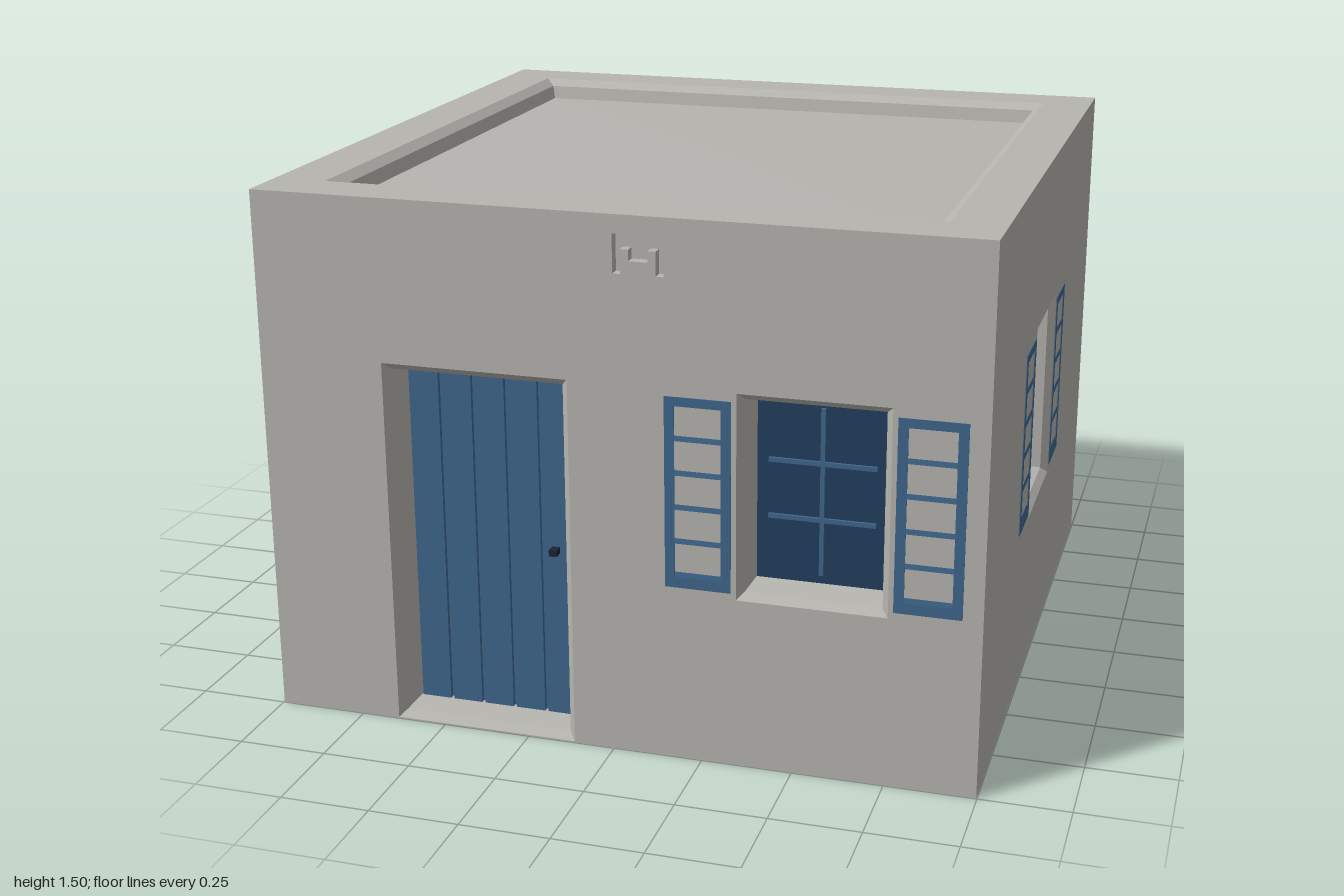
import * as THREE from 'three';

const paint = (name, color) => Object.assign(new THREE.MeshStandardMaterial({ color }), { name });
const wall = paint('greyPlaster', 0xb6b4af);
const blue = paint('shutterBlue', 0x3f668d);
const glass = paint('darkGlass', 0x233e5f);
const iron = paint('darkIron', 0x1b2433);

const HALF = 0.998, HEIGHT = 1.5, REVEAL = 0.115;

function add(parent, name, geometry, material, x = 0, y = 0, z = 0) {
  const mesh = new THREE.Mesh(geometry, material);
  mesh.name = name;
  mesh.position.set(x, y, z);
  parent.add(mesh);
  return mesh;
}

function box(parent, name, material, w, h, d, x, y, z) {
  return add(parent, name, new THREE.BoxGeometry(w, h, d), material, x, y, z);
}

// Counter-clockwise rectangle, grown outwards by g
const rect = (x0, y0, x1, y1, g = 0) => [
  [x0 - g, y0 - g], [x1 + g, y0 - g], [x1 + g, y1 + g], [x0 - g, y1 + g],
];
const toShape = (pts) => new THREE.Shape(pts.map(([x, y]) => new THREE.Vector2(x, y)));

// Flat faces lining an opening, from a stack of outlines going inwards
function lining(loops) {
  const v = [];
  for (let k = 0; k + 1 < loops.length; k++) {
    const [a, b] = [loops[k], loops[k + 1]];
    const n = a.pts.length;
    for (let i = 0; i < n; i++) {
      const j = (i + 1) % n;
      const p0 = [...a.pts[i], a.z], p1 = [...a.pts[j], a.z];
      const q0 = [...b.pts[i], b.z], q1 = [...b.pts[j], b.z];
      v.push(...p0, ...p1, ...q1, ...p0, ...q1, ...q0);
    }
  }
  const g = new THREE.BufferGeometry();
  g.setAttribute('position', new THREE.Float32BufferAttribute(v, 3));
  g.computeVertexNormals();
  return g;
}

// Chamfered, slightly tapered opening; returns the outline to cut from the wall
function opening(parent, name, r, chamfer, depth) {
  const outer = rect(...r, chamfer);
  add(parent, name, lining([
    { pts: outer, z: 0 },
    { pts: rect(...r), z: -0.02 },
    { pts: rect(...r, -0.008), z: -depth },
  ]), wall);
  return outer;
}

function cutPanel(parent, name, outline, holes) {
  const shape = toShape(outline);
  shape.holes = holes.map(toShape);
  add(parent, name, new THREE.ShapeGeometry(shape), wall);
}

// Louvred shutter: a frame with sloping slats
function shutter(parent, x, y) {
  const g = new THREE.Group();
  g.name = 'shutter';
  g.position.set(x, y, -0.018);
  const w = 0.18, h = 0.53, d = 0.02;
  const frame = toShape(rect(-w / 2, -h / 2, w / 2, h / 2));
  frame.holes = [toShape(rect(-0.063, -0.235, 0.063, 0.24))];
  add(g, 'shutterFrame', new THREE.ExtrudeGeometry(frame, { depth: d, bevelEnabled: false }), blue);
  for (let i = 0; i < 5; i++) {
    const slat = toShape([[0, 0], [-d, 0], [-0.007, 0.095]]);
    const geo = new THREE.ExtrudeGeometry(slat, { depth: 0.126, bevelEnabled: false });
    geo.rotateY(Math.PI / 2);
    add(g, 'shutterSlat', geo, blue, -0.063, -0.235 + i * 0.095, 0);
  }
  parent.add(g);
}

function windowUnit(parent, x) {
  const g = new THREE.Group();
  g.name = 'window';
  parent.add(g);
  const y = 0.765;
  const hole = opening(g, 'windowReveal', [x - 0.185, 0.5, x + 0.185, 1.035], 0.018, REVEAL);
  add(g, 'windowPane', new THREE.PlaneGeometry(0.37, 0.54), glass, x, 0.7675, -REVEAL + 0.001);
  // Glazing bars
  box(g, 'glazingBar', blue, 0.012, 0.465, 0.01, x, y, -REVEAL + 0.004);
  for (const by of [0.688, 0.845]) box(g, 'glazingBar', blue, 0.29, 0.012, 0.01, x, by, -REVEAL + 0.004);
  for (const s of [-1, 1]) shutter(g, x + s * 0.307, y);
  return hole;
}

function doorUnit(parent, x) {
  const g = new THREE.Group();
  g.name = 'door';
  parent.add(g);
  const hole = opening(g, 'doorReveal', [x - 0.244, 0.022, x + 0.244, 1.03], 0.019, REVEAL);
  add(g, 'doorBacking', new THREE.PlaneGeometry(0.49, 1.01), blue, x, 0.526, -REVEAL);
  // Five upright planks with narrow grooves
  for (let i = 0; i < 5; i++) {
    box(g, 'doorPlank', blue, 0.086, 1.0, 0.012, x + (i - 2) * 0.095, 0.526, -REVEAL + 0.006);
  }
  box(g, 'doorKnob', iron, 0.022, 0.018, 0.03, x + 0.183, 0.522, -REVEAL + 0.026);
  return hole;
}

// Small notched niche near the top of the front wall
function niche(parent) {
  const pts = [
    [0.015, 1.345], [0.036, 1.345], [0.036, 1.41], [0.058, 1.41], [0.058, 1.38], [0.11, 1.38],
    [0.11, 1.41], [0.131, 1.41], [0.131, 1.345], [0.152, 1.345], [0.152, 1.45], [0.015, 1.45],
  ];
  add(parent, 'nicheSides', lining([{ pts, z: 0 }, { pts, z: -0.03 }]), wall);
  add(parent, 'nicheBack', new THREE.ShapeGeometry(toShape(pts)), wall, 0, 0, -0.03);
  return pts;
}

function side(model, name, angle, build) {
  const g = new THREE.Group();
  g.name = name;
  g.rotation.y = angle;
  g.position.set(Math.sin(angle) * HALF, 0, Math.cos(angle) * HALF);
  cutPanel(g, name + 'Panel', rect(-HALF, 0, HALF, HEIGHT), build(g));
  model.add(g);
}

export function createModel() {
  const model = new THREE.Group();
  model.name = 'house';

  // Four walls
  side(model, 'frontWall', 0, (g) => [doorUnit(g, -0.378), windowUnit(g, 0.547), niche(g)]);
  side(model, 'backWall', Math.PI, (g) => [doorUnit(g, 0.378), windowUnit(g, -0.547)]);
  side(model, 'windowWall', Math.PI / 2, (g) => [windowUnit(g, 0)]);
  side(model, 'blankWall', -Math.PI / 2, () => []);

  // Flat roof with a sunken, very slightly peaked centre
  const roof = new THREE.Group();
  roof.name = 'roof';
  roof.rotation.x = -Math.PI / 2;
  roof.position.y = HEIGHT;
  const pit = opening(roof, 'roofLip', [-0.82, -0.82, 0.82, 0.82], 0.03, 0.06);
  cutPanel(roof, 'parapetTop', rect(-HALF, -HALF, HALF, HALF), [pit]);
  model.add(roof);
  const deck = new THREE.ConeGeometry(0.812 * Math.SQRT2, 0.025, 4, 1, true).rotateY(Math.PI / 4).toNonIndexed();
  deck.computeVertexNormals();
  add(model, 'roofDeck', deck, wall, 0, HEIGHT - 0.06 + 0.0125, 0);

  // Underside
  add(model, 'floor', new THREE.PlaneGeometry(2 * HALF, 2 * HALF).rotateX(Math.PI / 2), wall);
  return model;
}
